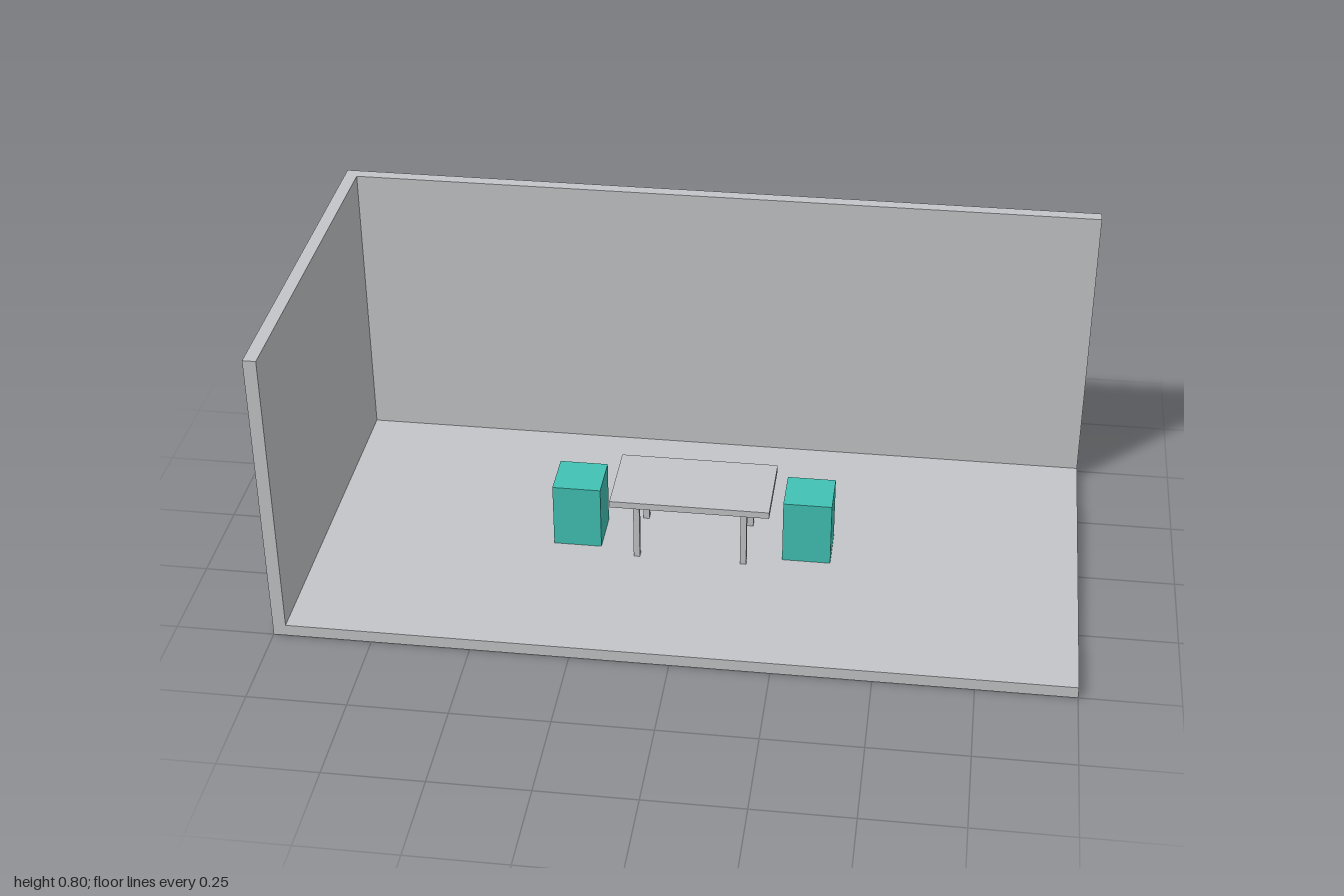
import * as THREE from 'three';

export function createModel() {
  const room = new THREE.Group();
  room.name = 'room';

  const grey = new THREE.MeshStandardMaterial({ color: 0xc2c5c8 });
  grey.name = 'light grey';
  const teal = new THREE.MeshStandardMaterial({ color: 0x41c1b3 });
  teal.name = 'teal';

  // Box with its underside at height y
  function box(parent, name, material, [w, h, d], [x, y, z]) {
    const mesh = new THREE.Mesh(new THREE.BoxGeometry(w, h, d), material);
    mesh.name = name;
    mesh.position.set(x, y + h / 2, z);
    parent.add(mesh);
  }

  const floorTop = 0.031;
  const wall = 0.033;

  box(room, 'floor', grey, [2, floorTop, 1], [0, 0, 0]);

  // Back and side wall as one L-shaped plan, raised from the floor
  const plan = new THREE.Shape([
    [-1, -0.5], [-1 + wall, -0.5], [-1 + wall, 0.5 - wall],
    [1, 0.5 - wall], [1, 0.5], [-1, 0.5],
  ].map(([x, y]) => new THREE.Vector2(x, y)));
  const walls = new THREE.Mesh(
    new THREE.ExtrudeGeometry(plan, { depth: 0.8 - floorTop, bevelEnabled: false }), grey);
  walls.name = 'walls';
  walls.rotation.x = -Math.PI / 2;
  walls.position.y = floorTop;
  room.add(walls);

  // Table with four square legs
  const table = new THREE.Group();
  table.name = 'table';
  room.add(table);
  const topY = 0.19;
  box(table, 'tableTop', grey, [0.412, 0.018, 0.222], [0, topY, 0]);
  for (const x of [-0.139, 0.139]) {
    for (const z of [-0.0875, 0.0875]) {
      box(table, 'tableLeg', grey, [0.016, topY - floorTop, 0.016], [x, floorTop, z]);
    }
  }

  // A block seat at each end of the table
  for (const [name, x] of [['rightSeat', -0.3], ['leftSeat', 0.3]]) {
    box(room, name, teal, [0.125, 0.175, 0.126], [x, floorTop, 0]);
  }

  return room;
}
